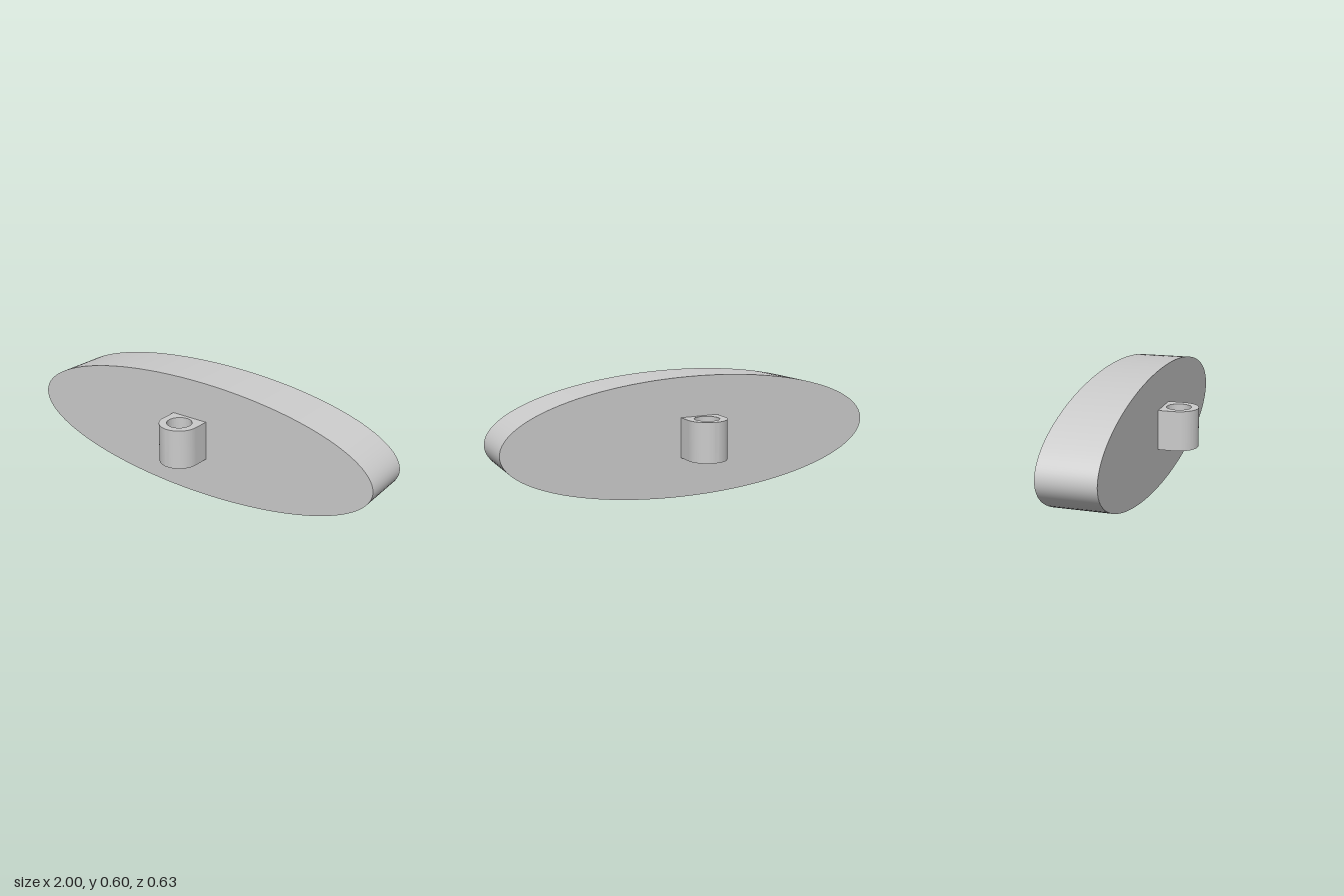
import * as THREE from 'three';
import { toCreasedNormals } from 'three/addons/utils/BufferGeometryUtils.js';

const MID_Y = 0.3;

export function createModel() {
  const model = new THREE.Group();
  model.name = 'ellipticalPlateWithLugs';
  const material = new THREE.MeshStandardMaterial({ color: 0xcccccc });

  // Elliptical plate: a smooth disc turned to face the front and flattened
  const plateGeometry = new THREE.CylinderGeometry(1, 1, 0.27, 128);
  plateGeometry.rotateX(Math.PI / 2);
  plateGeometry.scale(1, 0.3, 1);
  const plate = new THREE.Mesh(plateGeometry, material);
  plate.name = 'plate';
  plate.position.y = MID_Y;
  model.add(plate);

  // Lug outline: straight sides, rounded end and a vertical through hole
  const radius = 0.1, centre = 0.215, root = 0.13;
  const outline = new THREE.Shape();
  outline.moveTo(-radius, root);
  outline.lineTo(radius, root);
  outline.lineTo(radius, centre);
  outline.absarc(0, centre, radius, 0, Math.PI, false);
  outline.closePath();
  const hole = new THREE.Path();
  hole.absarc(0, centre, 0.062, 0, Math.PI * 2, true);
  outline.holes.push(hole);

  let lugGeometry = new THREE.ExtrudeGeometry(outline, {
    depth: 0.2, bevelEnabled: false, curveSegments: 32,
  });
  lugGeometry.translate(0, 0, -0.1);
  lugGeometry.rotateX(-Math.PI / 2);
  lugGeometry = toCreasedNormals(lugGeometry, Math.PI / 5);

  // One lug on each face of the plate
  for (const [name, turn] of [['backLug', 0], ['frontLug', Math.PI]]) {
    const lug = new THREE.Mesh(lugGeometry, material);
    lug.name = name;
    lug.position.y = MID_Y;
    lug.rotation.y = turn;
    model.add(lug);
  }

  return model;
}
